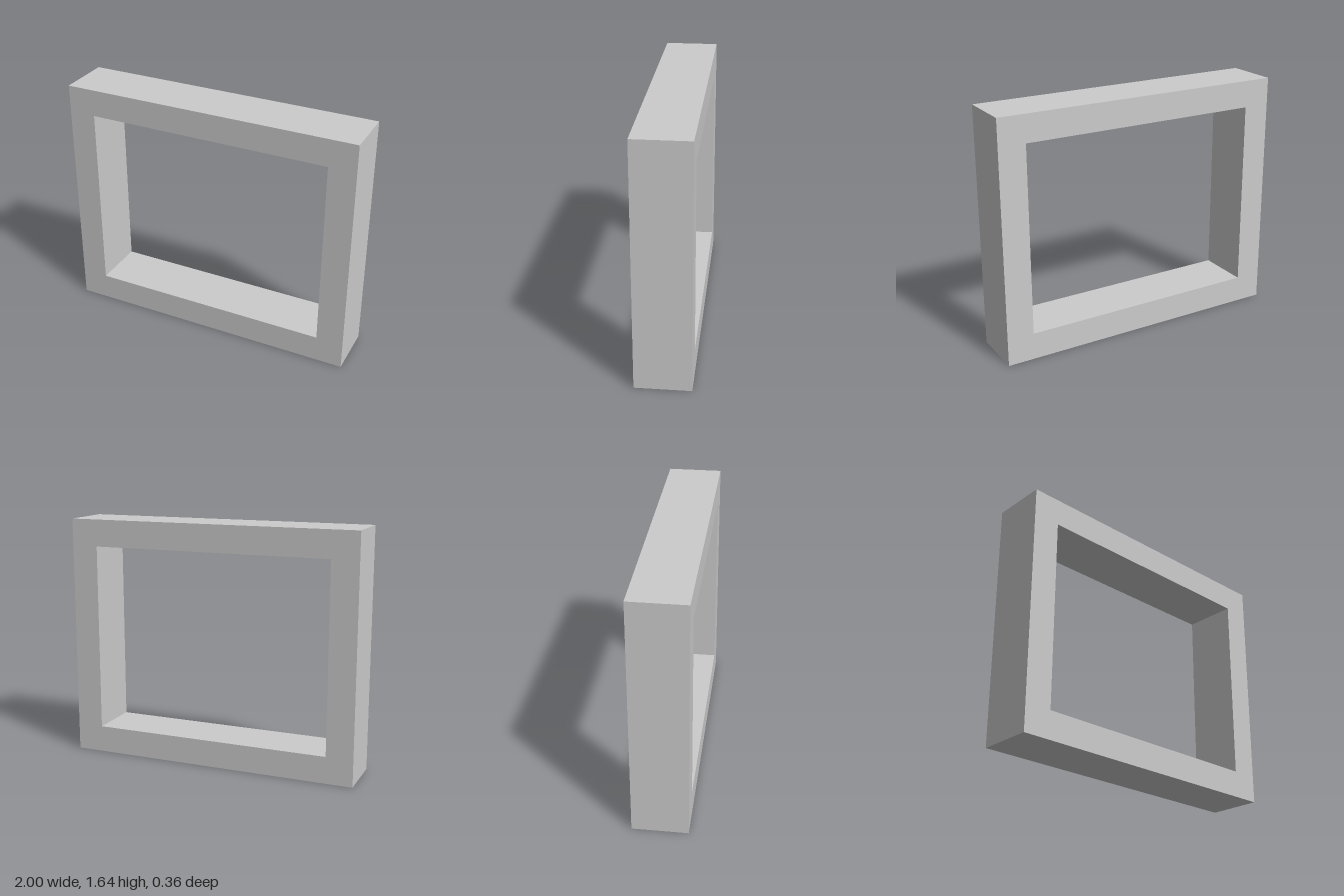
import * as THREE from 'three';

const WIDTH = 2, HEIGHT = 1.636, BORDER = 0.182, DEPTH = 0.364;

// Rectangle centred on x, inset equally on all four sides
function rectangle(target, inset) {
  const x = WIDTH / 2 - inset, y0 = inset, y1 = HEIGHT - inset;
  target.moveTo(-x, y0);
  target.lineTo(x, y0);
  target.lineTo(x, y1);
  target.lineTo(-x, y1);
  target.closePath();
  return target;
}

export function createModel() {
  const group = new THREE.Group();
  group.name = 'rectangularFrame';

  // Frame outline with its opening, extruded front to back
  const outline = rectangle(new THREE.Shape(), 0);
  outline.holes.push(rectangle(new THREE.Path(), BORDER));
  const geometry = new THREE.ExtrudeGeometry(outline, { depth: DEPTH, bevelEnabled: false });
  geometry.translate(0, 0, -DEPTH / 2);

  const material = new THREE.MeshStandardMaterial({ color: 0xcccccc, flatShading: true });
  const frame = new THREE.Mesh(geometry, material);
  frame.name = 'frame';
  group.add(frame);
  return group;
}
